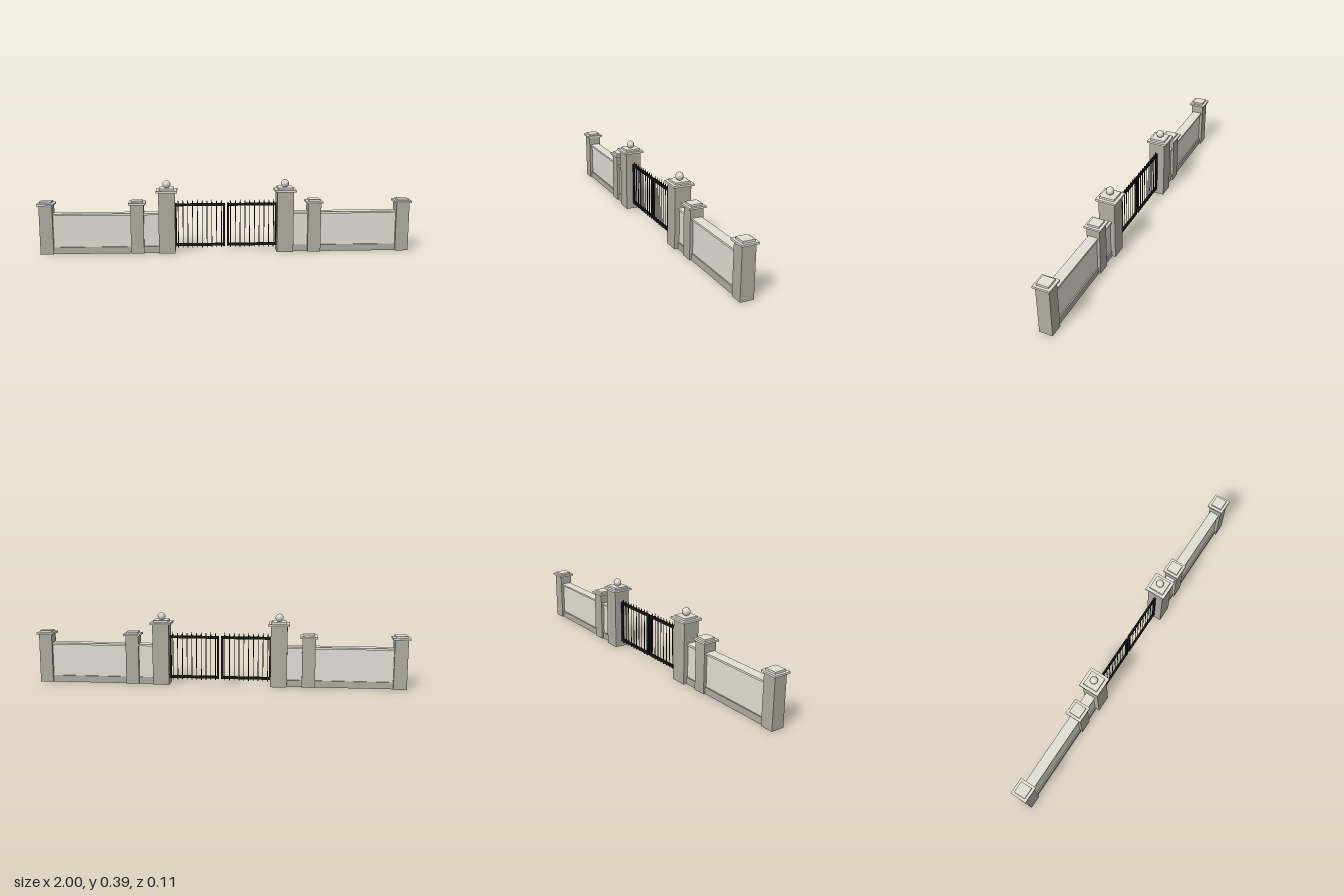
import * as THREE from 'three';

const material = (name, color, side = THREE.FrontSide) => {
  const m = new THREE.MeshStandardMaterial({ color, side });
  m.name = name;
  return m;
};

export function createModel() {
  const model = new THREE.Group();
  model.name = 'gatedWall';
  const stone = material('darkStone', 0xb0aca2, THREE.DoubleSide);
  const paleStone = material('paleStone', 0xe3dfd6);
  const iron = material('blackIron', 0x17171b);

  const add = (parent, name, geometry, mat, x, y, z = 0) => {
    const mesh = new THREE.Mesh(geometry, mat);
    mesh.name = name;
    mesh.position.set(x, y, z);
    parent.add(mesh);
    return mesh;
  };

  // Box spanning x0..x1 and y0..y1, centred on z
  const slab = (parent, name, mat, x0, x1, y0, y1, depth) =>
    add(parent, name, new THREE.BoxGeometry(x1 - x0, y1 - y0, depth), mat, (x0 + x1) / 2, (y0 + y1) / 2);

  // Box standing on the ground, open underneath
  const openBox = (width, height, depth) => {
    const g = new THREE.BoxGeometry(width, height, depth);
    const index = Array.from(g.index.array);
    index.splice(18, 6);
    g.setIndex(index);
    g.clearGroups();
    return g;
  };

  // Pillar with a two-step cap
  const pillar = (name, x, width, height, capWidth, topWidth, capTop, top) => {
    const group = new THREE.Group();
    group.name = name;
    group.position.x = x;
    model.add(group);
    add(group, 'pillarShaft', openBox(width, height, width), stone, 0, height / 2);
    slab(group, 'pillarCap', paleStone, -capWidth / 2, capWidth / 2, height, capTop, capWidth);
    slab(group, 'pillarCapStep', paleStone, -topWidth / 2, topWidth / 2, capTop, top, topWidth);
    return group;
  };

  // Stretch of wall: plinth, panel and overhanging coping
  const wall = (name, x0, x1) => {
    const group = new THREE.Group();
    group.name = name;
    model.add(group);
    add(group, 'wallPlinth', openBox(x1 - x0, 0.036, 0.052), stone, (x0 + x1) / 2, 0.018);
    slab(group, 'wallPanel', paleStone, x0, x1, 0.036, 0.207, 0.038);
    slab(group, 'wallCoping', paleStone, x0, x1, 0.207, 0.217, 0.054);
  };

  // Gate leaf: stiles, rails and spiked bars
  const gateLeaf = (name, x0, x1) => {
    const group = new THREE.Group();
    group.name = name;
    model.add(group);
    for (const x of [x0, x1 - 0.011]) slab(group, 'gateStile', iron, x, x + 0.011, 0.03, 0.265, 0.011);
    for (const y of [0.031, 0.25]) slab(group, 'gateRail', iron, x0, x1, y, y + 0.014, 0.011);
    const bars = 10;
    const bar = new THREE.CylinderGeometry(0.0023, 0.0023, 0.25, 6);
    const spike = new THREE.ConeGeometry(0.0045, 0.02, 6);
    for (let i = 0; i < bars; i++) {
      const x = x0 + 0.006 + ((i + 0.5) / bars) * (x1 - x0 - 0.012);
      add(group, 'gateBar', bar, iron, x, 0.147);
      add(group, 'gateSpike', spike, iron, x, 0.275);
    }
  };

  for (const side of [-1, 1]) {
    const label = side > 0 ? 'left' : 'right';
    pillar(label + 'EndPost', side * 0.955, 0.07, 0.264, 0.09, 0.062, 0.274, 0.284);
    pillar(label + 'InnerPost', side * 0.475, 0.07, 0.264, 0.09, 0.062, 0.274, 0.284);
    const main = pillar(label + 'GatePillar', side * 0.317, 0.088, 0.328, 0.112, 0.08, 0.339, 0.35);
    add(main, 'ballFinial', new THREE.SphereGeometry(0.022, 8, 6), paleStone, 0, 0.369);

    const span = (a, b) => [side * a, side * b].sort((p, q) => p - q);
    wall(label + 'LongWall', ...span(0.5, 0.93));
    wall(label + 'ShortWall', ...span(0.35, 0.45));
    gateLeaf(label + 'GateLeaf', ...span(0.006, 0.276));
  }
  return model;
}
